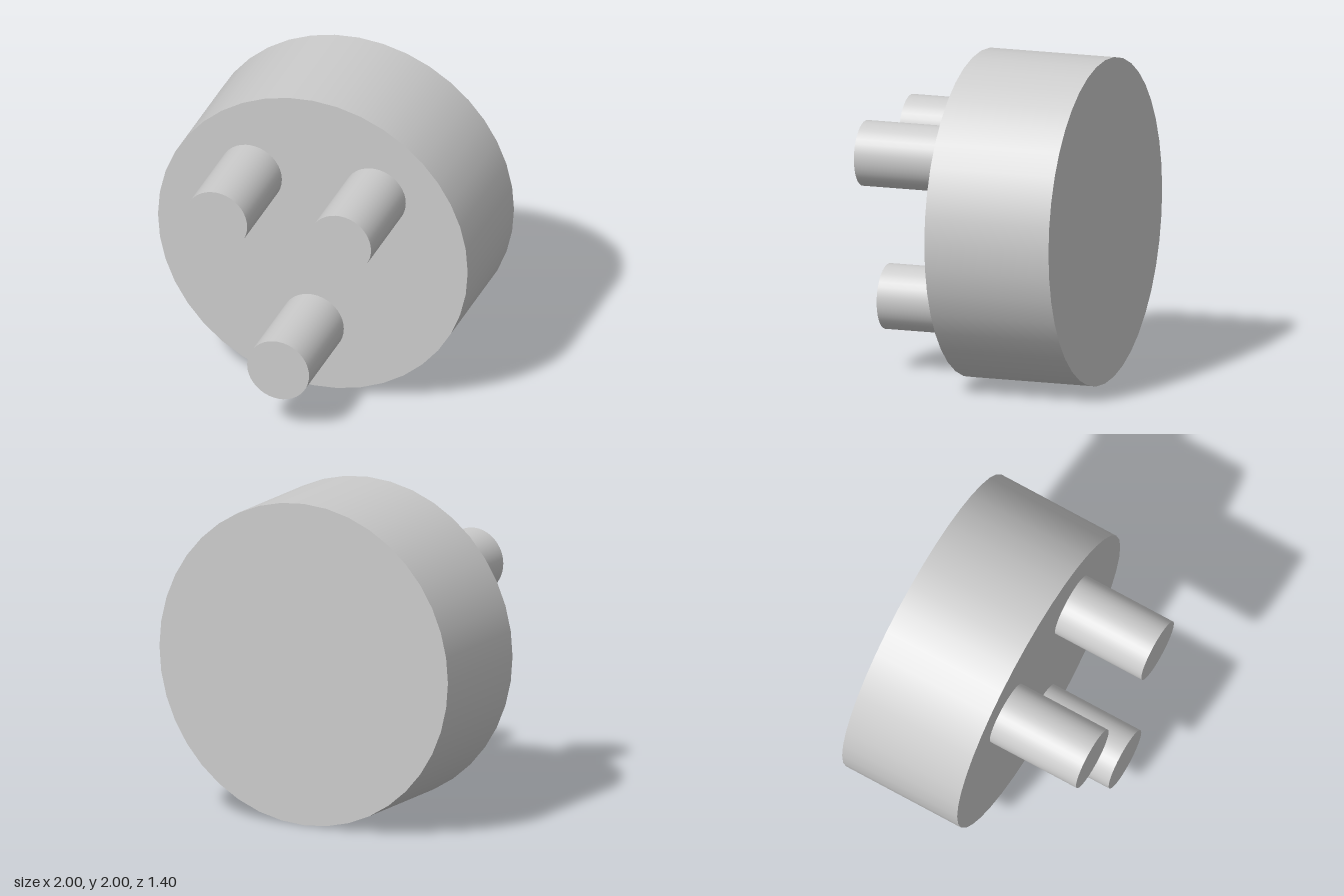
import * as THREE from 'three';

const material = new THREE.MeshStandardMaterial({ color: 0xcccccc });

// Cylinder lying along z, from zBack to zFront
function roundBar(name, radius, x, y, zBack, zFront) {
  const geometry = new THREE.CylinderGeometry(radius, radius, zFront - zBack, 40);
  geometry.rotateX(Math.PI / 2);
  const mesh = new THREE.Mesh(geometry, material);
  mesh.name = name;
  mesh.position.set(x, y, (zBack + zFront) / 2);
  return mesh;
}

export function createModel() {
  const group = new THREE.Group();
  group.name = 'threePinPlug';

  // Thick round body
  group.add(roundBar('body', 1, 0, 1, -0.7, 0.1));

  // Three pins on the front face
  const pins = [
    ['upperLeftPin', 0.4, 1.404],
    ['upperRightPin', -0.4, 1.404],
    ['lowerPin', 0, 0.438],
  ];
  for (const [name, x, y] of pins) group.add(roundBar(name, 0.2, x, y, 0.1, 0.7));

  return group;
}
